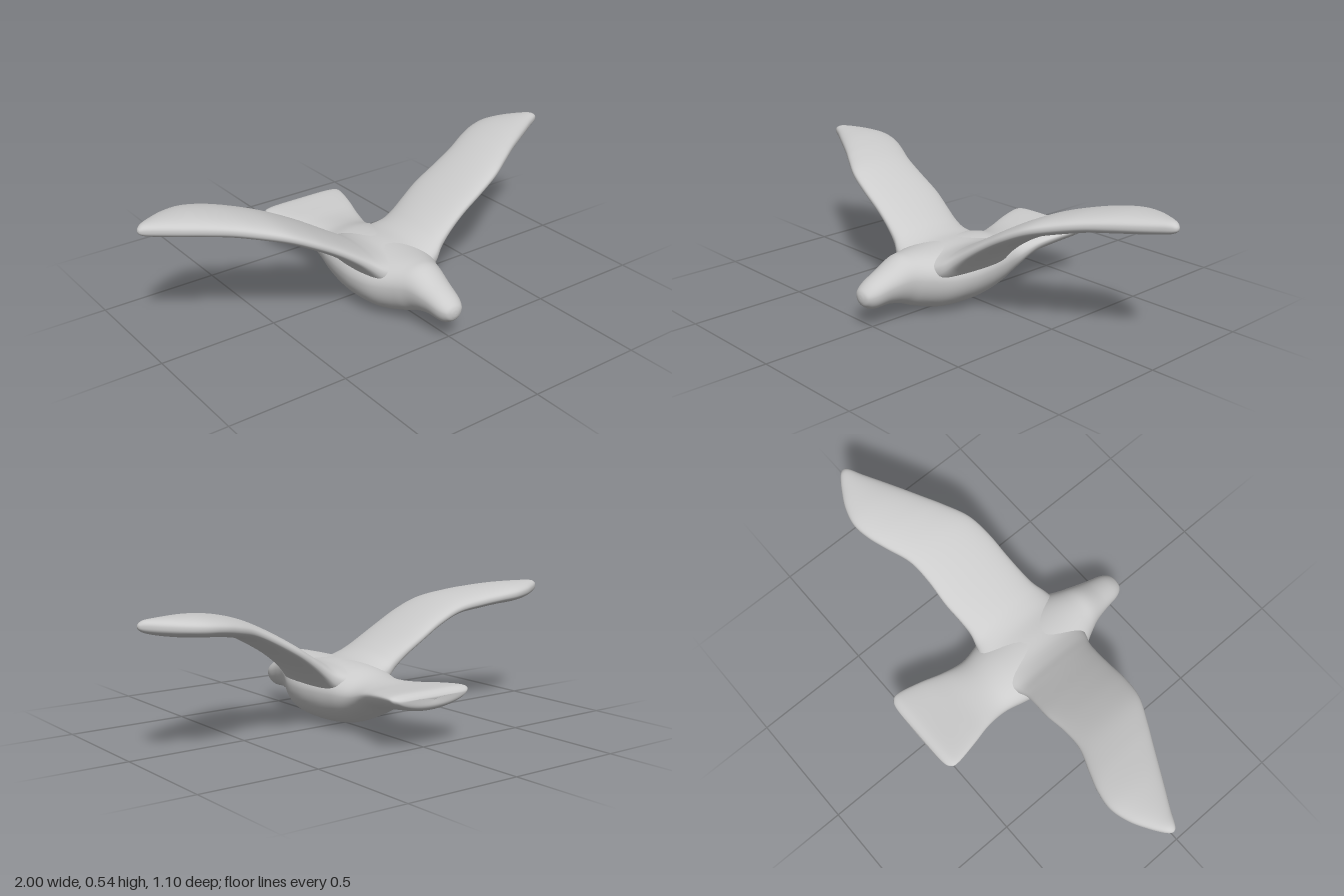
import * as THREE from 'three';
import { mergeVertices } from 'three/addons/utils/BufferGeometryUtils.js';

// Smoothly interpolate a table of cross-section rows at u in [0, 1]
function sampleRows(rows, u) {
  const n = rows.length - 1;
  const s = Math.min(u * n, n - 1e-6);
  const i = Math.floor(s), f = s - i;
  const row = (k) => rows[Math.max(0, Math.min(n, k))];
  const [a, b, c, d] = [row(i - 1), row(i), row(i + 1), row(i + 2)];
  return b.map((_, k) => 0.5 * (2 * b[k] + (c[k] - a[k]) * f
    + (2 * a[k] - 5 * b[k] + 4 * c[k] - d[k]) * f * f
    + (3 * b[k] - a[k] - 3 * c[k] + d[k]) * f * f * f));
}

// Skin closed rings; place(row, angle) gives a point on a ring
function loft(rows, steps, sides, place) {
  const pos = [], index = [];
  for (let i = 0; i <= steps; i++) {
    const row = sampleRows(rows, i / steps);
    for (let j = 0; j < sides; j++) pos.push(...place(row, (j / sides) * Math.PI * 2));
  }
  for (let i = 0; i < steps; i++) {
    for (let j = 0; j < sides; j++) {
      const k = (j + 1) % sides;
      const a = i * sides + j, b = i * sides + k, c = a + sides, d = b + sides;
      index.push(a, b, c, b, d, c);
    }
  }
  let g = new THREE.BufferGeometry();
  g.setAttribute('position', new THREE.Float32BufferAttribute(pos, 3));
  g.setIndex(index);
  g = mergeVertices(g, 1e-5);
  g.computeVertexNormals();
  return g;
}

// Body from tail to beak: z, top, bottom, half width, upturn of the sides
const bodyRows = [
  [-0.55, 0.195, 0.195, 0, 0.01],
  [-0.55, 0.208, 0.172, 0.14, 0.01],
  [-0.535, 0.222, 0.155, 0.185, 0.015],
  [-0.5, 0.228, 0.145, 0.195, 0.02],
  [-0.4, 0.222, 0.13, 0.175, 0.02],
  [-0.3, 0.217, 0.112, 0.15, 0.012],
  [-0.2, 0.225, 0.062, 0.142, 0],
  [-0.1, 0.25, 0.02, 0.163, 0],
  [0, 0.26, 0.002, 0.18, 0],
  [0.1, 0.26, 0, 0.185, 0],
  [0.2, 0.26, 0.006, 0.168, 0],
  [0.3, 0.26, 0.035, 0.118, 0],
  [0.36, 0.255, 0.06, 0.092, 0],
  [0.43, 0.222, 0.076, 0.074, 0],
  [0.5, 0.19, 0.075, 0.06, 0],
  [0.535, 0.165, 0.092, 0.042, 0],
  [0.547, 0.147, 0.11, 0.02, 0],
  [0.55, 0.128, 0.128, 0, 0],
];

// Half wing from middle to tip: x, leading z, trailing z, top, bottom
const wingRows = [
  [0, 0.28, -0.14, 0.262, 0.1],
  [0.07, 0.275, -0.145, 0.263, 0.11],
  [0.13, 0.26, -0.125, 0.28, 0.135],
  [0.18, 0.235, -0.115, 0.306, 0.19],
  [0.24, 0.22, -0.12, 0.34, 0.247],
  [0.32, 0.208, -0.13, 0.387, 0.305],
  [0.42, 0.198, -0.13, 0.442, 0.363],
  [0.52, 0.175, -0.142, 0.487, 0.41],
  [0.62, 0.122, -0.183, 0.515, 0.435],
  [0.7, 0.075, -0.212, 0.53, 0.45],
  [0.78, 0.03, -0.223, 0.54, 0.458],
  [0.86, -0.015, -0.203, 0.543, 0.468],
  [0.93, -0.055, -0.166, 0.542, 0.48],
  [0.975, -0.078, -0.136, 0.538, 0.492],
  [0.995, -0.092, -0.117, 0.527, 0.504],
  [1, -0.104, -0.104, 0.516, 0.516],
];

export function createModel() {
  const group = new THREE.Group();
  group.name = 'bird';
  const material = new THREE.MeshStandardMaterial({ color: 0xcccccc, roughness: 0.8 });
  const add = (name, geometry) => {
    const mesh = new THREE.Mesh(geometry, material);
    mesh.name = name;
    group.add(mesh);
  };

  // Head, belly and tail: an egg section, widest above the middle
  add('bodyAndTail', loft(bodyRows, 136, 56, ([z, top, bottom, w, cup], t) => {
    const s = Math.sin(t), c = Math.cos(t);
    const mid = bottom + (top - bottom) * 0.58;
    const y = mid + s * (s > 0 ? top - mid : mid - bottom);
    return [-0.01 + Math.max(0, w) * c, y + cup * c * c, z];
  }));

  // Both wings in one span, mirrored about the middle
  const span = [...wingRows.slice(1).reverse().map(([x, ...r]) => [-x, ...r]), ...wingRows];
  add('wings', loft(span, 180, 56, ([x, lead, trail, top, bottom], t) => {
    const s = Math.sin(t), c = Math.cos(t);
    const rounded = Math.sign(c) * Math.abs(c) ** 0.8;
    return [
      x,
      (top + bottom) / 2 + ((top - bottom) / 2) * rounded,
      (lead + trail) / 2 + ((lead - trail) / 2) * s,
    ];
  }));

  return group;
}
